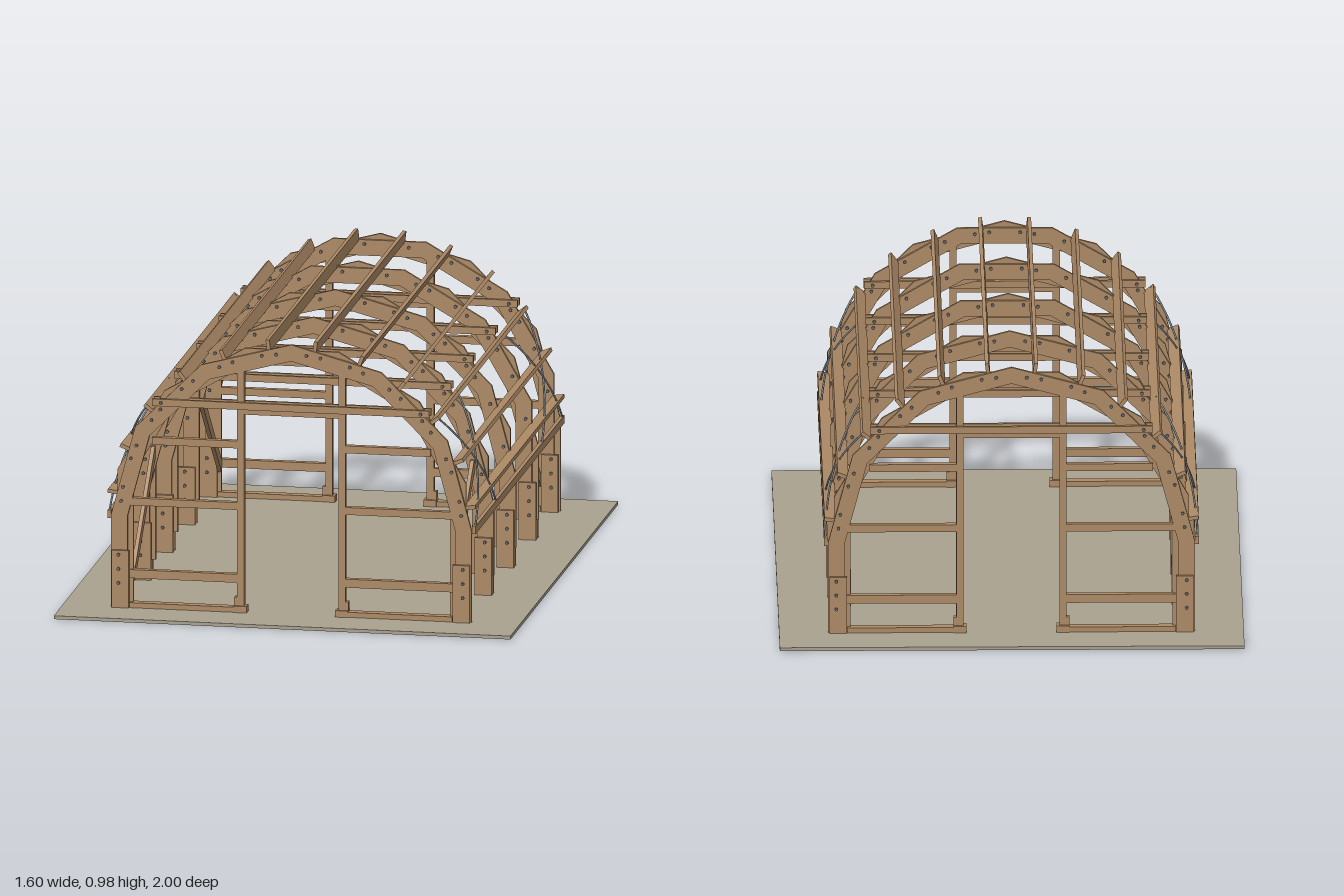
import * as THREE from 'three';

const CY = 0.335;          // height of the arch centre
const R_OUT = 0.632, R_IN = 0.574;
const PLY = 0.0115;        // thickness of one arch layer
const FRAMES = [-0.82, -0.41, 0, 0.41, 0.82];
const GROUND = 0.012;

export function createModel() {
  const wood = new THREE.MeshStandardMaterial({ name: 'timber', color: 0xad8a66 });
  const steel = new THREE.MeshStandardMaterial({ name: 'steel', color: 0x8a9299 });
  const bolt = new THREE.MeshStandardMaterial({ name: 'boltSteel', color: 0x6a6a6c });
  const slab = new THREE.MeshStandardMaterial({ name: 'slab', color: 0xa9a28f });
  const model = new THREE.Group();
  model.name = 'archShed';

  function add(parent, name, geometry, material) {
    const mesh = new THREE.Mesh(geometry, material);
    mesh.name = name;
    parent.add(mesh);
    return mesh;
  }
  // Box given by its limits on each axis
  function box(parent, name, x0, x1, y0, y1, z0, z1, material = wood) {
    const mesh = add(parent, name, new THREE.BoxGeometry(x1 - x0, y1 - y0, z1 - z0), material);
    mesh.position.set((x0 + x1) / 2, (y0 + y1) / 2, (z0 + z1) / 2);
    return mesh;
  }
  // Same box on both sides of the building
  function pair(parent, name, x0, x1, ...rest) {
    box(parent, name + 'Left', x0, x1, ...rest);
    box(parent, name + 'Right', -x1, -x0, ...rest);
  }
  // Point on the arch, with the angle in degrees from the crown
  function polar(r, deg) {
    const a = THREE.MathUtils.degToRad(deg);
    return new THREE.Vector2(r * Math.sin(a), CY + r * Math.cos(a));
  }

  // One layer of straight mitred boards, running down into the legs
  function archLayer(parent, name, angles, foot, z) {
    const line = r => {
      const pts = angles.map(a => polar(r, a));
      const x = pts[pts.length - 1].x;
      return [new THREE.Vector2(-x, foot), ...pts, new THREE.Vector2(x, foot)];
    };
    const shape = new THREE.Shape([...line(R_OUT), ...line(R_IN).reverse()]);
    const geo = new THREE.ExtrudeGeometry(shape, { depth: PLY, bevelEnabled: false });
    add(parent, name, geo, wood).position.z = z;
  }
  const boltGeo = new THREE.CylinderGeometry(0.006, 0.006, 1, 8).rotateX(Math.PI / 2);
  function addBolt(parent, x, y, length) {
    const mesh = add(parent, 'bolt', boltGeo, bolt);
    mesh.position.set(x, y, 0);
    mesh.scale.z = length;
  }

  box(model, 'groundSlab', -0.8, 0.8, 0, GROUND, -1, 1, slab);

  const evenAngles = [-90, -60, -30, 0, 30, 60, 90];
  const oddAngles = [-75, -45, -15, 15, 45, 75];

  for (const z of FRAMES) {
    const isEnd = Math.abs(z) > 0.8;
    const frame = new THREE.Group();
    frame.name = isEnd ? 'endFrame' : 'innerFrame';
    frame.position.z = z;
    if (z < 0) frame.rotation.y = Math.PI;
    model.add(frame);

    const foot = isEnd ? GROUND : 0.08;
    archLayer(frame, 'archFrontLayer', evenAngles, foot, 0);
    archLayer(frame, 'archBackLayer', oddAngles, foot, -PLY);

    // Plates clamping each leg, and the collar ties, on both faces
    for (const s of [-1, 1]) {
      const z0 = s > 0 ? PLY : -2 * PLY, z1 = z0 + PLY;
      pair(frame, 'legPlate', 0.567, 0.627, GROUND, 0.215, z0, z1);
      box(frame, 'collarTie', -0.485, 0.485, 0.732, 0.757, z0, z1);
    }

    // Bolts through the arch laps, the leg plates and the tie ends
    for (let a = -82.5; a < 90; a += 15) {
      for (const d of [-2.4, 2.4]) {
        const p = polar(0.598, a + d);
        addBolt(frame, p.x, p.y, 0.034);
      }
    }
    for (const s of [-1, 1]) {
      for (const y of [0.1, 0.15, 0.2]) addBolt(frame, s * 0.603, y, 0.058);
      addBolt(frame, s * 0.455, 0.744, 0.058);
    }

    // Door framing and wall rails of the gable ends
    if (isEnd) {
      pair(frame, 'doorPost', 0.165, 0.19, GROUND, 0.885, -PLY, PLY);
      pair(frame, 'doorPostBase', 0.155, 0.2, GROUND, 0.035, -0.02, 0.02);
      pair(frame, 'doorPostCleat', 0.19, 0.2, 0.035, 0.065, -PLY, PLY);
      box(frame, 'doorLintel', -0.165, 0.165, 0.713, 0.732, -PLY, PLY);
      pair(frame, 'sill', 0.19, 0.565, GROUND, 0.03, -0.016, 0.016);
      pair(frame, 'lowRail', 0.19, 0.57, 0.116, 0.146, -PLY, PLY);
      pair(frame, 'middleRail', 0.19, 0.565, 0.374, 0.4, -PLY, PLY);
      pair(frame, 'highRail', 0.19, 0.488, 0.592, 0.618, -PLY, PLY);
    }
  }

  // Purlins standing on edge around the arch
  for (let a = -82.5; a < 90; a += 15) {
    const p = polar(0.63, a);
    const purlin = add(model, 'purlin', new THREE.BoxGeometry(0.013, 0.04, 1.65), wood);
    purlin.position.set(p.x, p.y, 0);
    purlin.rotation.z = -THREE.MathUtils.degToRad(a);
  }
  pair(model, 'wallPlate', 0.632, 0.645, 0.324, 0.352, -0.825, 0.825);

  // Corner bays: timber knee brace inside, crossed steel ties outside
  const braceShape = new THREE.Shape([
    new THREE.Vector2(0.805, 0.1), new THREE.Vector2(0.805, 0.145),
    new THREE.Vector2(0.435, 0.488), new THREE.Vector2(0.418, 0.488), new THREE.Vector2(0.418, 0.452),
  ]);
  // Shape x becomes z after the turn
  const braceGeo = new THREE.ExtrudeGeometry(braceShape, { depth: 0.014, bevelEnabled: false })
    .rotateY(-Math.PI / 2);
  function tieCurve(sx, sz, flip) {
    const pts = [];
    for (let i = 0; i <= 12; i++) {
      const t = i / 12, y = 0.345 + 0.385 * t;
      const x = Math.sqrt(0.641 ** 2 - (y - CY) ** 2);
      const z = 0.425 + 0.385 * (flip ? 1 - t : t);
      pts.push(new THREE.Vector3(sx * x, y, sz * z));
    }
    return new THREE.CatmullRomCurve3(pts);
  }
  for (const sx of [-1, 1]) {
    for (const sz of [-1, 1]) {
      const brace = add(model, 'kneeBrace', braceGeo, wood);
      brace.position.x = sx * 0.559 + sz * 0.007;
      if (sz < 0) brace.rotation.y = Math.PI;
      for (const flip of [false, true]) {
        add(model, 'crossTie', new THREE.TubeGeometry(tieCurve(sx, sz, flip), 24, 0.0035, 6), steel);
      }
    }
  }
  return model;
}
